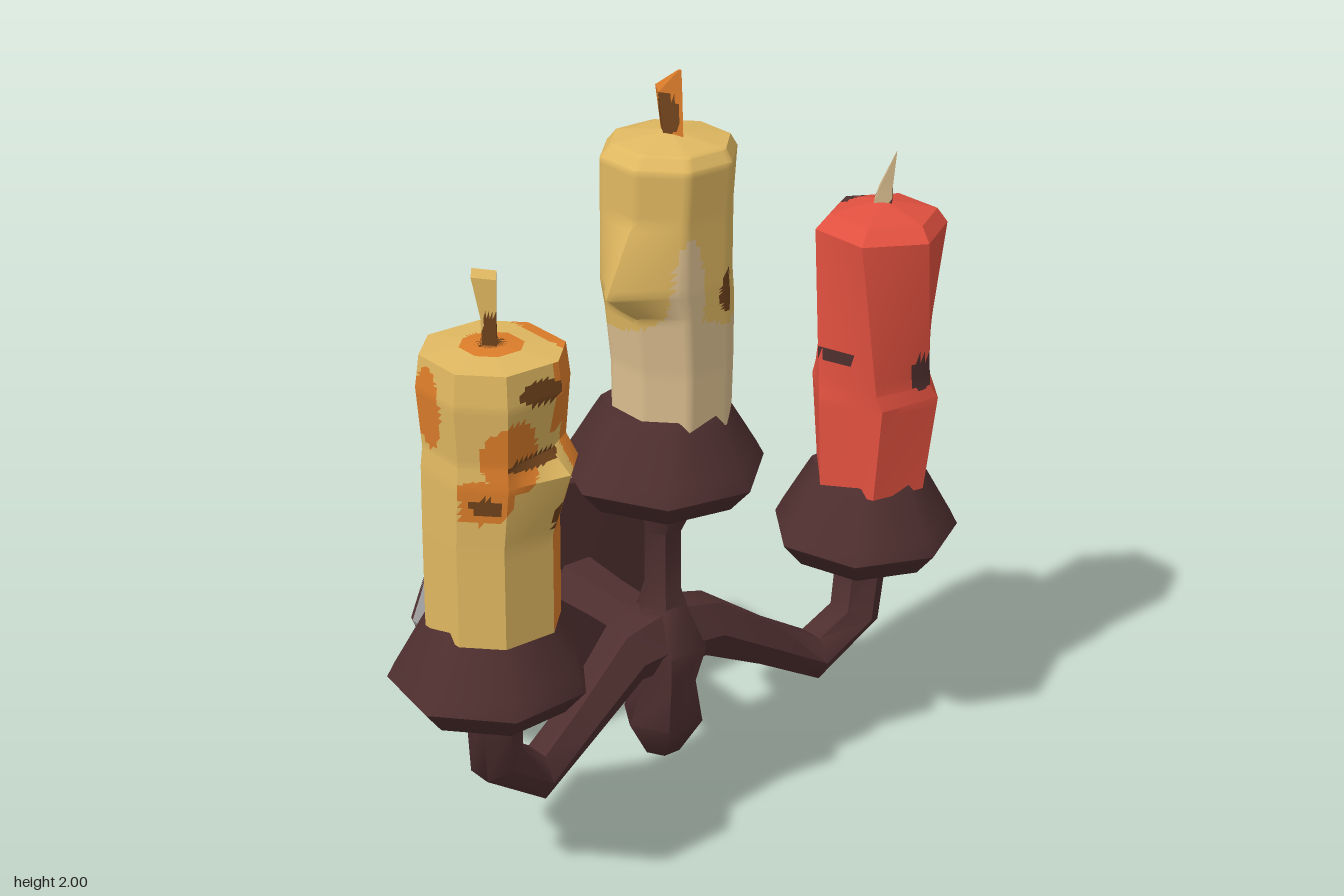
import * as THREE from 'three';
import { toCreasedNormals } from 'three/addons/utils/BufferGeometryUtils.js';

const mat = (name, color) => {
  const m = new THREE.MeshStandardMaterial({ color });
  m.name = name;
  return m;
};
const V = (x, y, z) => new THREE.Vector3(x, y, z);
const UP = V(0, 1, 0), BACK = V(0, 0, -1), X = V(1, 0, 0), Z = V(0, 0, 1);

// Skin rings [x, y, z, radius, twist]; each cell may be painted by a rule that picks a material.
function loft(name, rings, o) {
  const { sides = 6, u = X, t, sub = 1, crease = 0.8, move, paint, mats, angles } = o;
  const centre = (i) => V(rings[i][0], rings[i][1], rings[i][2]);
  const pts = rings.map((ring, i) => {
    const dir = t || centre(Math.min(i + 1, rings.length - 1)).sub(centre(Math.max(i - 1, 0))).normalize();
    const v = u.clone().cross(dir).normalize();
    return Array.from({ length: sides }, (_, j) => {
      const a = (angles ? angles[j] : (j / sides) * Math.PI * 2) + (ring[4] || 0);
      const p = centre(i).addScaledVector(u, Math.cos(a) * ring[3]).addScaledVector(v, Math.sin(a) * ring[3]);
      if (move) move(p, i, j);
      return p;
    });
  });
  const buckets = mats.map(() => []);
  const addTri = (a, b, c) => {
    if (b.clone().sub(a).cross(c.clone().sub(a)).length() < 1e-9) return;
    const m = a.clone().add(b).add(c).divideScalar(3);
    buckets[paint ? paint(m.x, m.y, m.z) : 0].push(...a.toArray(), ...b.toArray(), ...c.toArray());
  };
  for (let i = 0; i < rings.length - 1; i++) for (let j = 0; j < sides; j++) {
    const k = (j + 1) % sides;
    const at = (s, h) => pts[i][j].clone().lerp(pts[i][k], s / sub)
      .lerp(pts[i + 1][j].clone().lerp(pts[i + 1][k], s / sub), h / sub);
    for (let s = 0; s < sub; s++) for (let h = 0; h < sub; h++) {
      addTri(at(s, h), at(s, h + 1), at(s + 1, h));
      addTri(at(s + 1, h), at(s, h + 1), at(s + 1, h + 1));
    }
  }
  let geo = new THREE.BufferGeometry();
  geo.setAttribute('position', new THREE.Float32BufferAttribute(buckets.flat(), 3));
  geo = toCreasedNormals(geo, crease);
  let start = 0;
  buckets.forEach((b, i) => {
    if (b.length) geo.addGroup(start, b.length / 3, i);
    start += b.length / 3;
  });
  const mesh = new THREE.Mesh(geo, mats);
  mesh.name = name;
  return mesh;
}

// True inside an ellipse
const spot = (a, b, ca, cb, ra, rb) => ((a - ca) / ra) ** 2 + ((b - cb) / rb) ** 2 < 1;

export function createModel() {
  const g = new THREE.Group();
  g.name = 'candleSconce';
  const iron = mat('darkIron', 0x4f2f2f), steel = mat('greySteel', 0x9c9c9c);
  const yellow = mat('yellowWax', 0xe0b861), cream = mat('creamWax', 0xdcbf90);
  const red = mat('redWax', 0xe0503f), orange = mat('orangeWax', 0xdc7d2a), brown = mat('burntBrown', 0x70431c);
  const add = (...a) => g.add(loft(...a));
  const metal = { mats: [iron], crease: 1 };

  // Wall plate: faceted steel rim, iron front and hollow iron back
  add('wallPlate', [
    [0, 0.42, -0.245, 0.001], [0, 0.42, -0.25, 0.365, 0.2], [0, 0.42, -0.265, 0.375, 0.2],
    [0, 0.39, -0.465, 0.385], [0, 0.39, -0.48, 0.38], [0, 0.39, -0.48, 0.315],
    [0, 0.4, -0.32, 0.28], [0, 0.4, -0.315, 0.001],
  ], {
    sides: 8, t: BACK, sub: 4, crease: 0.3, mats: [iron, steel],
    paint: (x, y, z) => {
      const r = Math.hypot(x, y - 0.4);
      if (z > -0.266 || z < -0.478) return 0;
      if (r > 0.32) return z < -0.46 && Math.sin(x * 17 + y * 5) > 0.3 ? 0 : 1;
      return z < -0.325 ? 1 : 0;
    },
  });

  // Bar from the wall plate to the hub
  add('wallBar', [[0, 0.46, 0.12, 0.07], [0, 0.46, -0.1, 0.075], [0, 0.46, -0.25, 0.085]],
    { ...metal, t: BACK });

  // Hub with its hanging finial
  add('hubFinial', [
    [0, 0.125, 0.12, 0.001], [0, 0.135, 0.12, 0.05], [0, 0.24, 0.125, 0.11],
    [0, 0.36, 0.14, 0.08], [0, 0.46, 0.13, 0.115], [0, 0.58, 0.12, 0.06],
  ], { ...metal, t: UP });
  add('centreStem', [[0, 0.52, 0.12, 0.08], [0, 0.62, 0.12, 0.05], [0, 0.78, 0.12, 0.05], [0.01, 0.9, 0.12, 0.1]],
    { ...metal, t: UP });

  // Curved arms
  for (const [s, dz, name] of [[-1, 0.02, 'rightArm'], [1, -0.02, 'leftArm']]) {
    add(name, [
      [0, 0.48, 0.12, 0.1], [s * 0.13, 0.465, 0.13, 0.085], [s * 0.3, 0.37, 0.17 + dz / 2, 0.065],
      [s * 0.47, 0.275, 0.19 + dz, 0.07], [s * 0.605, 0.37, 0.21 + dz, 0.07], [s * 0.62, 0.58, 0.22 + dz, 0.07],
    ], { ...metal, u: Z, sides: 6 });
  }

  // Candle cups
  for (const [x, y, z, r, twist, name] of [
    [0, 0.87, 0.12, 0.265, 0.4, 'centreCup'], [-0.625, 0.54, 0.24, 0.25, 0.15, 'rightCup'], [0.62, 0.54, 0.2, 0.25, 0.6, 'leftCup'],
  ]) {
    add(name, [
      [x, y - 0.01, z, 0.001], [x, y + 0.02, z, r * 0.78, twist], [x, y + 0.085, z, r, twist],
      [x, y + 0.125, z, r * 0.92, twist], [x, y + 0.24, z, r * 0.66, twist], [x, y + 0.265, z, r * 0.6, twist],
      [x, y + 0.265, z, 0.001],
    ], { ...metal, sides: 7, t: UP });
  }

  // Centre candle: cream with melted yellow wax and a side drip
  add('centreCandle', [
    [0.02, 1.1, 0.13, 0.155], [0.02, 1.26, 0.13, 0.158], [0.01, 1.41, 0.13, 0.165], [0, 1.48, 0.13, 0.168],
    [0, 1.66, 0.13, 0.168], [0.005, 1.79, 0.13, 0.172], [0.01, 1.82, 0.13, 0.15], [0.01, 1.845, 0.13, 0.001],
  ], {
    sides: 8, angles: Array.from({ length: 8 }, (_, j) => (j + 0.5) * Math.PI / 4), t: UP, sub: 9, crease: 0.85,
    mats: [yellow, cream, brown],
    move: (p, i, j) => { if (i === 3 && j === 3) p.set(-0.232, 1.48, 0.19); },
    paint: (x, y, z) => {
      if (z > 0.13 && spot(x, y, 0.07, 1.46, 0.027, 0.055)) return 2;
      if (z < 0.05 && (spot(x, y, -0.09, 1.43, 0.04, 0.03) || spot(x, y, 0.05, 1.4, 0.025, 0.025))) return 2;
      if (z > 0.2 && spot(x, y, -0.05, 1.46, 0.045, 0.16)) return 1;
      if (x > 0.12 && spot(z, y, 0.1, 1.46, 0.04, 0.14)) return 1;
      return y < 1.385 + 0.03 * Math.sin(x * 14 + z * 9) ? 1 : 0;
    },
  });

  // Right candle: squarish yellow wax streaked with orange
  const square = [0, 1, 2, 3].flatMap((k) => [25, 65].map((d) => (d + k * 90) * Math.PI / 180));
  add('rightCandle', [
    [-0.62, 0.78, 0.25, 0.165], [-0.62, 1.04, 0.25, 0.165], [-0.61, 1.2, 0.255, 0.175], [-0.61, 1.25, 0.255, 0.17],
    [-0.61, 1.4, 0.255, 0.182], [-0.61, 1.48, 0.255, 0.172], [-0.61, 1.495, 0.25, 0.001],
  ], {
    sides: 8, angles: square, t: UP, sub: 9, crease: 0.4, mats: [yellow, orange, brown],
    move: (p, i, j) => {
      if (i === 2 && j < 2) p.add(V(0.01, 0, 0.025));
      if (i === 3 && j === 1) p.z -= 0.03;
    },
    paint: (x, y, z) => {
      const dx = x + 0.61;
      if (y > 1.479) {
        const r = Math.hypot(dx, z - 0.25);
        return r < 0.03 ? 2 : r < 0.075 || dx > 0.125 ? 1 : 0;
      }
      if (z > 0.33) {
        if (spot(x, y, -0.59, 1.42, 0.06, 0.03) || spot(x, y, -0.72, 1.15, 0.03, 0.022)
          || spot(x, y, -0.53, 1.09, 0.03, 0.04) || spot(x, y, -0.6, 1.245, 0.08, 0.015)) return 2;
        if (spot(x, y, -0.66, 1.27, 0.07, 0.09) || spot(x, y, -0.73, 1.16, 0.06, 0.055)) return 1;
        if (dx > 0.06 && (y < 1.1 || y > 1.3)) return 1;
      }
      if (z < 0.15) {
        if (spot(x, y, -0.55, 1.38, 0.035, 0.03)) return 2;
        const arc = Math.hypot((x + 0.64) / 0.07, (y - 1.33) / 0.11);
        if (arc > 0.65 && arc < 1) return 1;
        if (dx > 0 && y > 1.3 + 0.03 * Math.sin(x * 40)) return 1;
      }
      if (dx < -0.12 && spot(z, y, 0.22, 1.36, 0.05, 0.1)) return 1;
      return dx > 0.115 ? 1 : 0;
    },
  });

  // Left candle: twisted red wax with a notch and dark scorch marks
  add('leftCandle', [
    [0.62, 0.78, 0.215, 0.155, 0.15], [0.64, 1.03, 0.2, 0.178, 0.1], [0.63, 1.07, 0.2, 0.165, 0.15],
    [0.63, 1.48, 0.215, 0.172, 0.5], [0.64, 1.515, 0.21, 0.14, 0.5], [0.645, 1.545, 0.2, 0.001],
  ], {
    sides: 6, t: UP, sub: 12, crease: 0.3, mats: [red, iron],
    paint: (x, y, z) => {
      if (z > 0.22 && spot(x, y, 0.665, 1.11, 0.035, 0.05)) return 1;
      if (x < 0.53 && spot(z, y, 0.22, 1.16, 0.05, 0.02)) return 1;
      if (y > 1.482) return spot(x, z, 0.64, 0.09, 0.05, 0.02) ? 1 : 0;
      if (z < 0.16 && (spot(x, y, 0.66, 1.4, 0.035, 0.04) || spot(x, y, 0.56, 1.27, 0.05, 0.035))) return 1;
      const edge = 0.14 - 0.1 * Math.max(0, y - 0.8) + 0.012 * Math.sin(y * 45);
      return x > 0.63 && z < edge && y < 1.22 ? 1 : 0;
    },
  });

  // Wicks
  add('centreWick', [[0.01, 1.8, 0.14, 0.04], [0.012, 1.94, 0.12, 0.052], [0.008, 2, 0.165, 0.006], [0.008, 2, 0.165, 0.001]], {
    sides: 4, t: UP, sub: 6, crease: 0.3, mats: [orange, brown],
    move: (p) => { p.x = 0.01 + (p.x - 0.01) * 0.6; },
    paint: (x, y, z) => (spot(z, y, 0.13, 1.88, 0.04, 0.055) && (x < 0.01 || z > 0.13) ? 1 : 0),
  });
  add('rightWick', [[-0.61, 1.47, 0.25, 0.028], [-0.615, 1.56, 0.25, 0.03], [-0.62, 1.66, 0.24, 0.048], [-0.62, 1.66, 0.24, 0.001]], {
    sides: 4, t: UP, sub: 5, crease: 0.3, mats: [yellow, brown],
    move: (p) => { p.x = -0.62 + (p.x + 0.62) * 0.75; },
    paint: (x, y) => (y < 1.57 && x > -0.635 ? 1 : 0),
  });
  add('leftWick', [[0.65, 1.51, 0.19, 0.038], [0.645, 1.58, 0.21, 0.024], [0.64, 1.685, 0.25, 0.001]], {
    sides: 4, t: UP, sub: 5, crease: 0.3, mats: [cream, iron],
    paint: (x, y, z) => (x > 0.645 && z < 0.23 ? 1 : 0),
  });
  return g;
}
